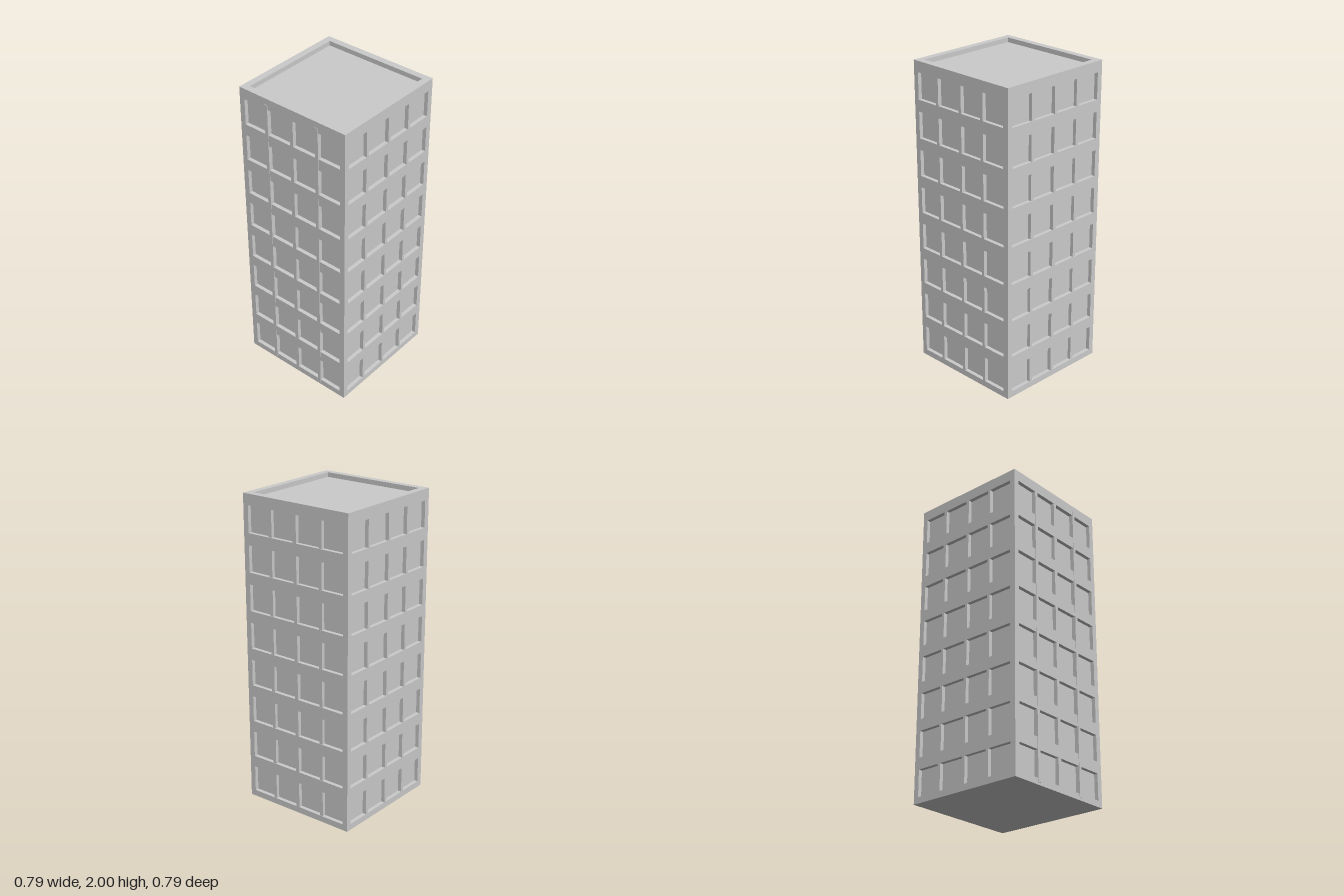
import * as THREE from 'three';

const HALF = 0.394;    // half width of the tower
const HEIGHT = 2;
const RECESS = 0.025;  // how far the windows sit behind the wall face
const ROOF = 1.97;     // roof deck, below the parapet rim
const FLOORS = 8, PITCH = 0.2457, SILL = 0.04, WINDOW_H = 0.17;

function rect(PathType, x0, y0, x1, y1) {
  return new PathType([[x0, y0], [x1, y0], [x1, y1], [x0, y1]].map(([x, y]) => new THREE.Vector2(x, y)));
}

// Wall panel with one row of openings per floor, spans given as [x0, x1]
function facadeGeometry(halfWidth, spans) {
  const shape = rect(THREE.Shape, -halfWidth, 0, halfWidth, HEIGHT);
  for (let i = 0; i < FLOORS; i++) {
    const y = SILL + i * PITCH;
    for (const [x0, x1] of spans) shape.holes.push(rect(THREE.Path, x0, y, x1, y + WINDOW_H));
  }
  return new THREE.ExtrudeGeometry(shape, { depth: RECESS, bevelEnabled: false });
}

export function createModel() {
  const group = new THREE.Group();
  const material = new THREE.MeshStandardMaterial({ color: 0xcccccc });
  const add = (name, geometry) => {
    const mesh = new THREE.Mesh(geometry, material);
    mesh.name = name;
    group.add(mesh);
    return mesh;
  };
  const inner = HALF - RECESS;

  // Core: its sides are the window panes, its top the roof deck
  add('core', new THREE.BoxGeometry(inner * 2, ROOF, inner * 2)).position.y = ROOF / 2;

  // Parapet rim standing on the deck
  const rim = rect(THREE.Shape, -inner, -inner, inner, inner);
  rim.holes.push(rect(THREE.Path, -0.35, -0.35, 0.35, 0.35));
  const parapet = add('parapet', new THREE.ExtrudeGeometry(rim, { depth: HEIGHT - ROOF, bevelEnabled: false }));
  parapet.rotation.x = -Math.PI / 2;
  parapet.position.y = ROOF;

  // Front and back walls: four windows per floor
  const fourWindows = [[-0.36, -0.205], [-0.185, -0.01], [0.01, 0.172], [0.192, 0.357]];
  const wide = facadeGeometry(HALF, fourWindows);
  add('frontWall', wide).position.z = inner;
  const back = add('backWall', wide.clone().scale(-1, 1, 1).rotateZ(Math.PI).rotateX(Math.PI).scale(1, 1, 1));
  back.geometry = wide;
  back.rotation.y = Math.PI;
  back.position.z = -inner;

  // Side walls: two wide openings per floor, each split by a mullion
  const narrow = facadeGeometry(inner, [[-0.358, -0.012], [0.012, 0.358]]);
  for (const side of [1, -1]) {
    const wall = add(side > 0 ? 'leftWall' : 'rightWall', narrow);
    wall.rotation.y = side * Math.PI / 2;
    wall.position.x = side * inner;
  }

  // Mullions run through the tower, standing slightly proud on the right side
  for (const z of [0.189, -0.189]) {
    add('sideMullion', new THREE.BoxGeometry(0.788, 1.945, 0.022)).position.set(-0.003, 0.9875, z);
  }
  return group;
}
